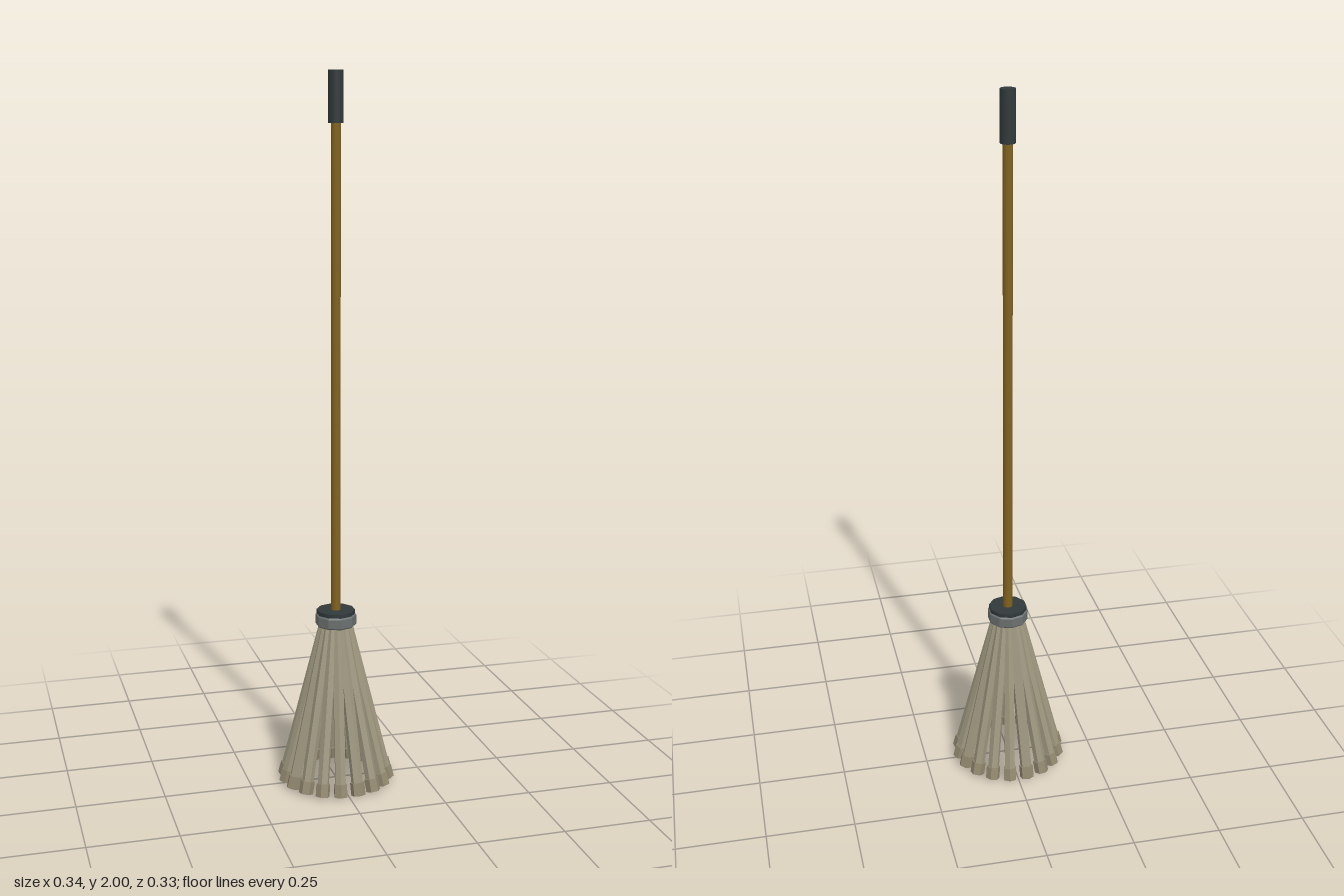
import * as THREE from 'three';

const material = (name, color, flatShading = false) => {
  const m = new THREE.MeshStandardMaterial({ color, flatShading });
  m.name = name;
  return m;
};

export function createModel() {
  const model = new THREE.Group();
  model.name = 'mop';
  const wood = material('wood', 0x80621f);
  const rubber = material('darkRubber', 0x31393a);
  const metal = material('greyBand', 0x6a706f, true);
  const yarn = material('yarn', 0x9d967f, true);
  const yarnEnd = material('yarnEnd', 0x91886f, true);

  // Upright cylinder between two heights
  const post = (name, mat, radius, y0, y1, sides) => {
    const mesh = new THREE.Mesh(new THREE.CylinderGeometry(radius, radius, y1 - y0, sides), mat);
    mesh.position.y = (y0 + y1) / 2;
    mesh.name = name;
    model.add(mesh);
  };

  // Handle and grip
  post('handle', wood, 0.0135, 0.49, 1.9, 16);
  post('grip', rubber, 0.0205, 1.862, 2, 20);

  // Ten-sided head with a bevelled binding band
  post('head', rubber, 0.055, 0.468, 0.51, 10);
  const profile = [[0, 0.465], [0.055, 0.465], [0.0585, 0.469], [0.0585, 0.495], [0.055, 0.499]];
  const band = new THREE.Mesh(
    new THREE.LatheGeometry(profile.map(([x, y]) => new THREE.Vector2(x, y)), 10), metal);
  band.name = 'bindingBand';
  model.add(band);

  // Ring of splayed six-sided strands, each with a thicker tip
  const strands = new THREE.Group();
  strands.name = 'strands';
  const tilt = 0.25, length = 0.47;
  const strandGeometry = new THREE.CylinderGeometry(0.0165, 0.0165, length, 6);
  strandGeometry.translate(0, length / 2, 0);
  const tipGeometry = new THREE.CylinderGeometry(0.0203, 0.0203, 0.036, 6);
  tipGeometry.translate(0, 0.018, 0);
  for (let i = 0; i < 18; i++) {
    const arm = new THREE.Group();
    arm.name = 'strandArm';
    arm.rotation.y = (i / 18) * Math.PI * 2 + Math.PI / 2;
    const strand = new THREE.Group();
    strand.name = 'strand';
    strand.position.set(0, 0.005, 0.149);
    strand.rotation.x = -tilt;
    const body = new THREE.Mesh(strandGeometry, yarn);
    body.name = 'strandBody';
    const tip = new THREE.Mesh(tipGeometry, yarnEnd);
    tip.name = 'strandTip';
    strand.add(body, tip);
    arm.add(strand);
    strands.add(arm);
  }
  model.add(strands);
  return model;
}
